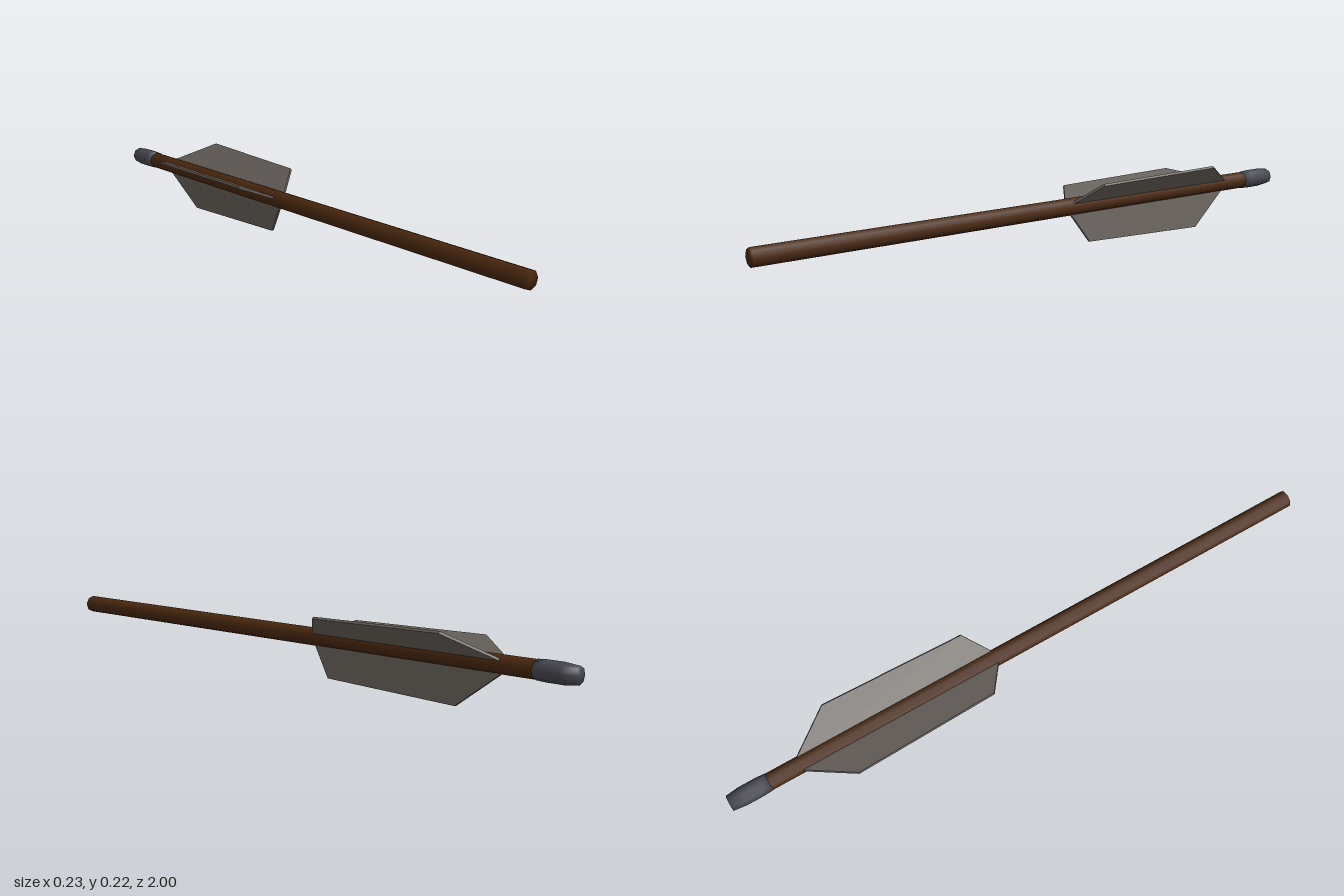
import * as THREE from 'three';

const mat = (name, color) => {
  const m = new THREE.MeshStandardMaterial({ color });
  m.name = name;
  return m;
};

// Eight-sided turned part along z, from [radius, z] pairs
function turned(name, profile, material) {
  const points = profile.map(([r, z]) => new THREE.Vector2(r, z));
  const geo = new THREE.LatheGeometry(points, 8);
  geo.rotateX(Math.PI / 2);
  geo.rotateZ(THREE.MathUtils.degToRad(4));
  const mesh = new THREE.Mesh(geo, material);
  mesh.name = name;
  return mesh;
}

export function createModel() {
  const wood = mat('dark wood', 0x4a280f);
  const feather = mat('grey feather', 0x67615b);
  const horn = mat('slate grey', 0x474750);

  const model = new THREE.Group();
  model.name = 'arrow';
  const body = new THREE.Group();
  body.name = 'arrowBody';
  body.position.set(0.009, 0.136, 0);
  model.add(body);

  // Shaft, blunt at the front
  body.add(turned('shaft', [[0, -0.9], [0.028, -0.9], [0.028, 1], [0, 1]], wood));

  // Slightly swollen nock at the rear
  body.add(turned('nock', [
    [0, -1], [0.026, -1], [0.031, -0.955], [0.031, -0.9], [0.029, -0.87], [0, -0.87],
  ], horn));

  // Three flat vanes, 120 degrees apart
  const thickness = 0.008;
  const outline = new THREE.Shape([
    [0.015, -0.78], [0.026, -0.765], [0.135, -0.625], [0.12, -0.155], [0.026, -0.09], [0.015, -0.085],
  ].map(([r, z]) => new THREE.Vector2(r, z)));
  const vaneGeo = new THREE.ExtrudeGeometry(outline, { depth: thickness, bevelEnabled: false });
  vaneGeo.rotateX(Math.PI / 2);
  vaneGeo.translate(0, thickness / 2, 0);
  for (let i = 0; i < 3; i++) {
    const vane = new THREE.Mesh(vaneGeo, feather);
    vane.name = `vane${i + 1}`;
    vane.rotation.z = THREE.MathUtils.degToRad(39.3 + i * 120);
    body.add(vane);
  }
  return model;
}
